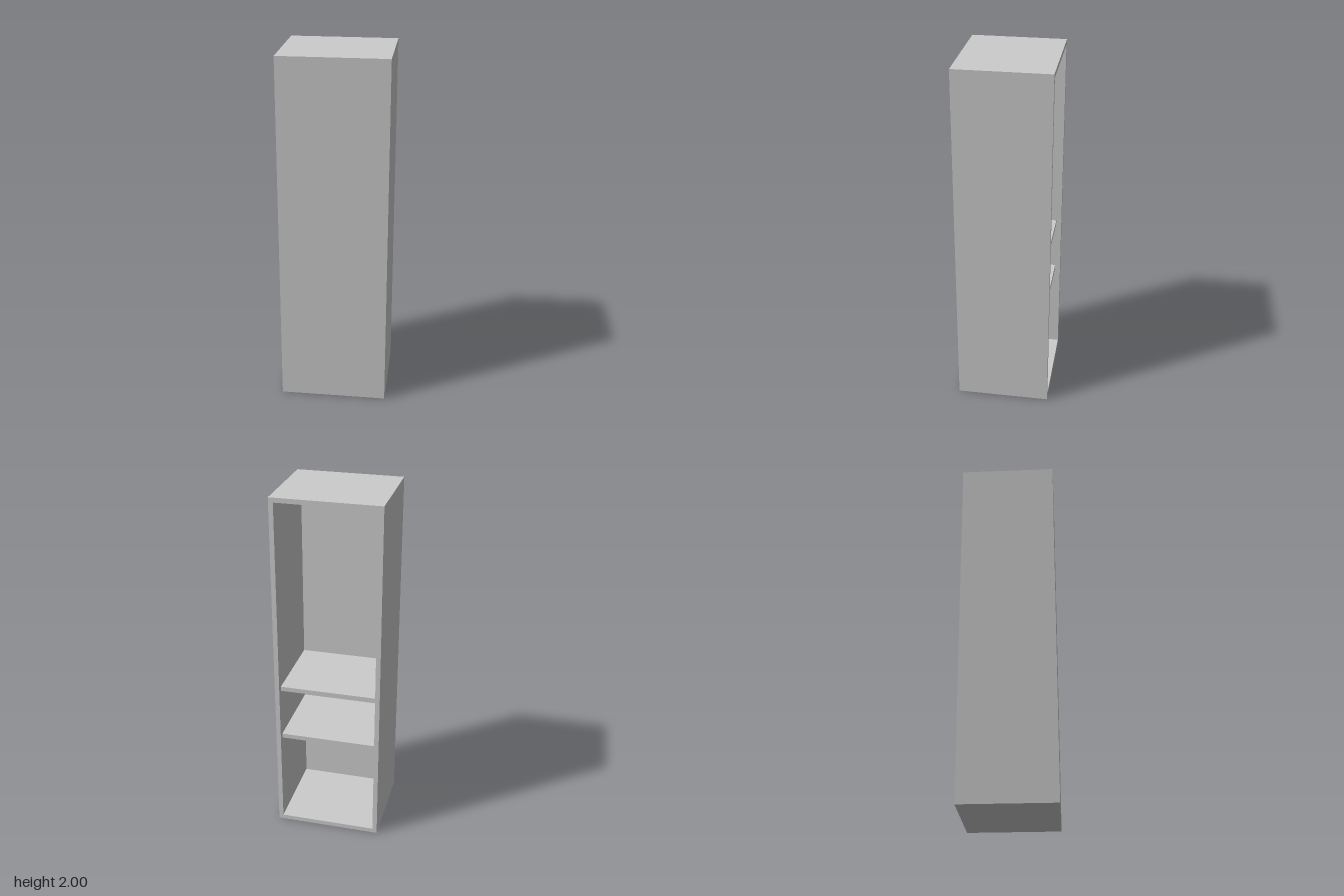
import * as THREE from 'three';

export function createModel() {
  const group = new THREE.Group();
  group.name = 'cabinet';
  const material = new THREE.MeshStandardMaterial({ color: 0xcccccc, flatShading: true });

  const W = 0.6, H = 2, D = 0.526; // outer size
  const T = 0.026;                 // board thickness
  const innerW = W - 2 * T;
  const setback = 0.03;            // shelves stop short of the open back

  function board(name, w, h, d, x, y, z) {
    const mesh = new THREE.Mesh(new THREE.BoxGeometry(w, h, d), material);
    mesh.name = name;
    mesh.position.set(x, y, z);
    group.add(mesh);
  }

  // Closed front, open back
  board('frontPanel', W, H, T, 0, H / 2, D / 2 - T / 2);

  // Side walls
  const wallD = D - T;
  for (const [name, s] of [['leftSide', 1], ['rightSide', -1]]) {
    board(name, T, H, wallD, s * (W - T) / 2, H / 2, -T / 2);
  }

  // Floor and ceiling between the sides
  board('bottomPanel', innerW, T, wallD, 0, T / 2, -T / 2);
  board('topPanel', innerW, T, wallD, 0, H - T / 2, -T / 2);

  // Two shelves, given by the height of their upper face
  const shelfD = wallD - setback;
  for (const [name, top] of [['lowerShelf', 0.583], ['upperShelf', 0.893]]) {
    board(name, innerW, T, shelfD, 0, top - T / 2, D / 2 - T - shelfD / 2);
  }

  return group;
}
